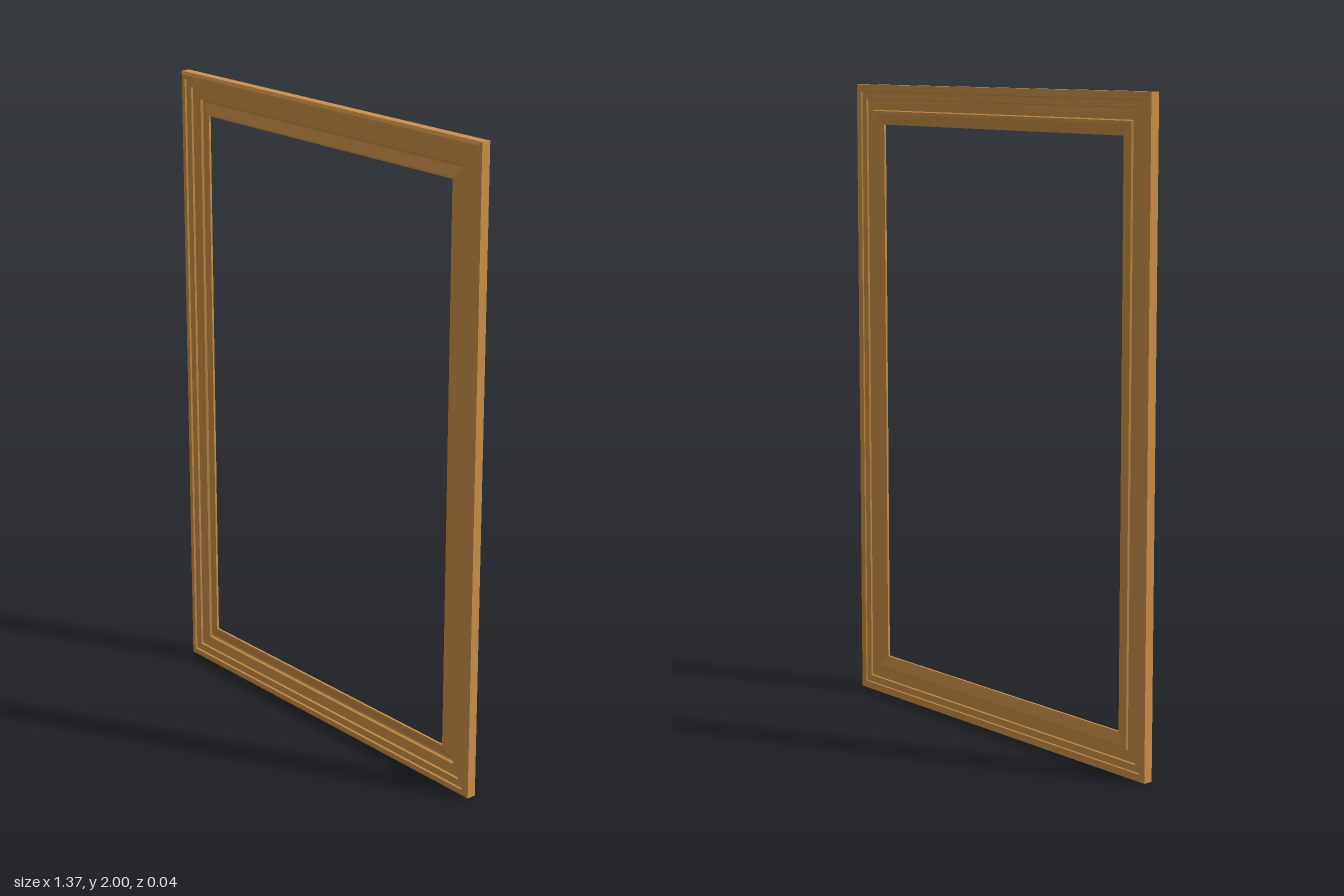
import * as THREE from 'three';

const HALF_W = 0.685, HALF_H = 1;

// Moulding cross-section: [inset from outer edge, z], outer back -> front -> inner lip -> back
const PROFILE = [
  [0, -0.0175], [0, 0.012], [0.01, 0.0175], [0.022, 0.0175],
  [0.024, 0.012], [0.045, 0.01], [0.047, 0.004], [0.08, 0],
  [0.084, -0.007], [0.09, -0.009], [0.12, 0.003], [0.126, 0.003],
  [0.126, -0.004], [0.092, -0.015], [0.083, -0.0145], [0.08, -0.009],
  [0.047, -0.0075], [0.045, -0.0125], [0.024, -0.0135], [0.022, -0.0175],
];

// Outer corners, counter-clockwise from the front
const CORNERS = [[-1, -1], [1, -1], [1, 1], [-1, 1]];

const pointAt = ([sx, sy], [inset, z]) =>
  [sx * (HALF_W - inset), HALF_H + sy * (HALF_H - inset), z];

// One rail swept between two mitred corners
function railGeometry(start, end) {
  const positions = [];
  PROFILE.forEach((p, j) => {
    const q = PROFILE[(j + 1) % PROFILE.length];
    const a = pointAt(start, p), b = pointAt(end, p);
    const c = pointAt(end, q), d = pointAt(start, q);
    positions.push(...a, ...b, ...c, ...a, ...c, ...d);
  });
  const geometry = new THREE.BufferGeometry();
  geometry.setAttribute('position', new THREE.Float32BufferAttribute(positions, 3));
  geometry.computeVertexNormals();
  return geometry;
}

export function createModel() {
  const wood = new THREE.MeshStandardMaterial({ color: 0xcd9148 });
  wood.name = 'golden wood';

  const frame = new THREE.Group();
  frame.name = 'pictureFrame';
  ['bottomRail', 'leftStile', 'topRail', 'rightStile'].forEach((name, i) => {
    const rail = new THREE.Mesh(railGeometry(CORNERS[i], CORNERS[(i + 1) % 4]), wood);
    rail.name = name;
    frame.add(rail);
  });
  return frame;
}
